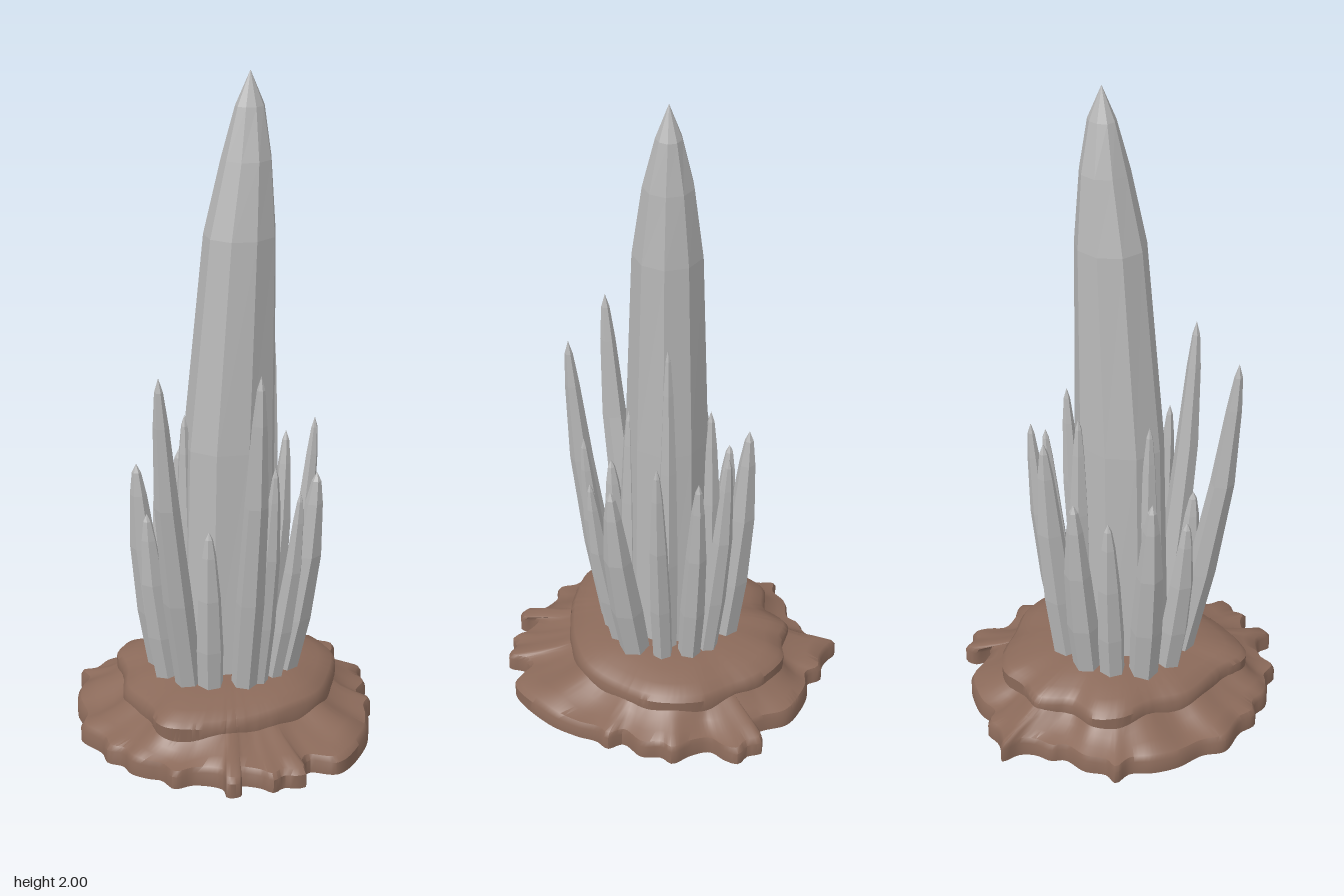
import * as THREE from 'three';
import { toCreasedNormals } from 'three/addons/utils/BufferGeometryUtils.js';

const V = (x, y, z) => new THREE.Vector3(x, y, z);

// Skin a stack of closed rings (each an array of Vector3), listed bottom to top
function loft(rings) {
  const n = rings[0].length, index = [];
  for (let i = 0; i < rings.length - 1; i++) {
    for (let j = 0; j < n; j++) {
      const k = (j + 1) % n, a = i * n + j, b = i * n + k;
      index.push(a, a + n, b, b, a + n, b + n);
    }
  }
  const g = new THREE.BufferGeometry().setFromPoints(rings.flat());
  g.setIndex(index);
  g.computeVertexNormals();
  return g;
}

function ring(sides, x, y, z, rx, rz, turn = 0) {
  return Array.from({ length: sides }, (_, j) => {
    const a = turn + (j / sides) * Math.PI * 2;
    return V(x + Math.cos(a) * rx, y, z + Math.sin(a) * rz);
  });
}

const closedCurve = (pts) =>
  new THREE.CatmullRomCurve3(pts.map(([x, z]) => V(x, 0, z)), true, 'centripetal');

// Ragged outer edge of the mound, as x, z
const EDGE = [
  [0, -0.53], [0.03, -0.5], [0.07, -0.475], [0.12, -0.465], [0.14, -0.42], [0.2, -0.41], [0.26, -0.38],
  [0.32, -0.33], [0.34, -0.25], [0.37, -0.19], [0.4, -0.235], [0.44, -0.235], [0.45, -0.19], [0.48, -0.16],
  [0.46, -0.12], [0.42, -0.08], [0.43, -0.02], [0.46, 0.04], [0.43, 0.07], [0.42, 0.13], [0.36, 0.18],
  [0.375, 0.23], [0.34, 0.26], [0.31, 0.32], [0.24, 0.41], [0.09, 0.5], [0.02, 0.45], [-0.01, 0.47],
  [-0.03, 0.515], [-0.06, 0.51], [-0.09, 0.49], [-0.13, 0.5], [-0.15, 0.46], [-0.2, 0.42], [-0.22, 0.47],
  [-0.26, 0.46], [-0.25, 0.41], [-0.31, 0.35], [-0.37, 0.34], [-0.38, 0.28], [-0.41, 0.25], [-0.44, 0.2],
  [-0.44, 0.15], [-0.47, 0.11], [-0.46, 0.05], [-0.48, -0.05], [-0.44, -0.11], [-0.42, -0.2], [-0.38, -0.27],
  [-0.33, -0.32], [-0.325, -0.38], [-0.28, -0.37], [-0.22, -0.4], [-0.14, -0.4], [-0.11, -0.43],
  [-0.06, -0.44], [-0.02, -0.47],
];

// Upper step of the mound
const STEP = [
  [0, -0.37], [0.08, -0.34], [0.17, -0.33], [0.25, -0.25], [0.29, -0.16], [0.34, -0.05], [0.33, 0.08],
  [0.25, 0.19], [0.15, 0.28], [0.03, 0.31], [-0.1, 0.31], [-0.22, 0.29], [-0.34, 0.22], [-0.33, 0.1],
  [-0.33, -0.05], [-0.28, -0.15], [-0.25, -0.26], [-0.18, -0.32], [-0.09, -0.31],
];

function moundGeometry() {
  const n = 228;
  const edge = closedCurve(EDGE).getSpacedPoints(n).slice(0, n);
  const stepPts = closedCurve(STEP).getSpacedPoints(360).slice(0, 360);
  const angle = (p) => Math.atan2(p.z, p.x);
  // Step point lying in the same direction as each edge point
  const step = edge.map((e) => {
    const a = angle(e);
    const off = (p) => 1 - Math.cos(angle(p) - a);
    const r = stepPts.reduce((best, p) => (off(p) < off(best) ? p : best)).length();
    return V(Math.cos(a) * r, 0, Math.sin(a) * r);
  });
  const apron = (t, y, wave) => edge.map((e, j) => {
    const p = e.clone().lerp(step[j], t), a = angle(e);
    p.y = y + wave * (Math.sin(a * 7) + Math.sin(a * 12 + 1));
    return p;
  });
  const top = (s, y, wave = 0) => step.map((p) =>
    V(p.x * s, y + wave * Math.sin(angle(p) * 5 + 1), p.z * s));
  return loft([
    apron(0, 0, 0), apron(0, 0.042, 0.002), apron(0.08, 0.058, 0.002), apron(0.4, 0.07, 0.006),
    apron(0.75, 0.088, 0.006), apron(0.97, 0.105, 0.005), top(1.01, 0.135, 0.006), top(0.97, 0.152, 0.004),
    top(0.85, 0.168, 0.003), top(0.7, 0.184), top(0.5, 0.194), top(0, 0.2),
  ]);
}

// Slim crystal leaning out from its foot, then straightening to a blunt point
function crystalGeometry(foot, tip, r, turn) {
  const at = (h, out, s) => {
    const p = foot.clone().lerp(tip, out);
    return ring(6, p.x, THREE.MathUtils.lerp(foot.y, tip.y, h), p.z, r * s, r * s, turn);
  };
  return loft([
    at(0, 0, 0), at(0, 0, 0.95), at(0.32, 0.42, 1.05), at(0.62, 0.76, 0.88),
    at(0.86, 0.93, 0.55), at(0.96, 0.99, 0.3), at(1, 1, 0),
  ]);
}

// Tip x, y, z, thickness
const CRYSTALS = [
  [-0.32, 1.2, 0.17, 0.042], [-0.06, 1.2, 0.295, 0.04], [0.01, 0.9, 0.26, 0.032], [0.1, 0.8, 0.25, 0.032],
  [0.19, 0.83, 0.195, 0.048], [0.26, 0.95, 0.065, 0.032], [0.235, 0.87, -0.06, 0.036],
  [0.21, 0.94, -0.15, 0.034], [0.09, 0.95, -0.225, 0.046], [-0.04, 0.8, -0.24, 0.046],
  [-0.135, 0.75, -0.195, 0.04], [-0.245, 0.83, -0.125, 0.046], [-0.275, 0.72, 0, 0.042],
  [-0.16, 0.7, 0.17, 0.04],
];

// Crystals pressed against the main one
const INNER = [
  [0.135, 1.28, 0.02, 0.03], [0.02, 1, 0.125, 0.035], [0.05, 1, -0.115, 0.035], [-0.14, 1, -0.015, 0.035],
];

// Main crystal sections: y, centre x, centre z, half width, half depth
const MAIN = [
  [0.2, -0.015, 0.01, 0, 0], [0.2, -0.015, 0.01, 0.15, 0.135], [0.9, -0.002, 0.01, 0.143, 0.125],
  [1.53, 0.033, 0.01, 0.108, 0.103], [1.75, 0.054, 0.01, 0.074, 0.074],
  [1.9, 0.064, 0.01, 0.044, 0.038], [2, 0.065, 0.01, 0, 0],
];

export function createModel() {
  const earth = new THREE.MeshStandardMaterial({ color: 0x8b6a5a, side: THREE.DoubleSide });
  earth.name = 'brown earth';
  const crystal = new THREE.MeshStandardMaterial({ color: 0xb8b8b8, flatShading: true });
  crystal.name = 'grey crystal';

  const model = new THREE.Group();
  model.name = 'crystalCluster';
  const add = (name, geometry, material) => {
    const mesh = new THREE.Mesh(geometry, material);
    mesh.name = name;
    model.add(mesh);
  };

  // Hollow mound of earth
  add('mound', toCreasedNormals(moundGeometry(), 0.7), earth);

  // Tall central crystal
  add('mainCrystal', loft(MAIN.map(([y, x, z, rx, rz]) => ring(9, x, y, z, rx, rz, 0.2))), crystal);

  // Ring of small crystals fanning outward
  CRYSTALS.forEach(([x, y, z, r], i) => {
    const a = Math.atan2(z, x + 0.02);
    const foot = V(-0.02 + Math.cos(a) * 0.18, 0.13, Math.sin(a) * 0.17);
    add('smallCrystal' + (i + 1), crystalGeometry(foot, V(x, y, z), r, a), crystal);
  });

  // Upright crystals hugging the centre
  INNER.forEach(([x, y, z, r], i) => {
    add('innerCrystal' + (i + 1), crystalGeometry(V(x * 0.9, 0.15, z), V(x, y, z), r, i), crystal);
  });
  return model;
}
